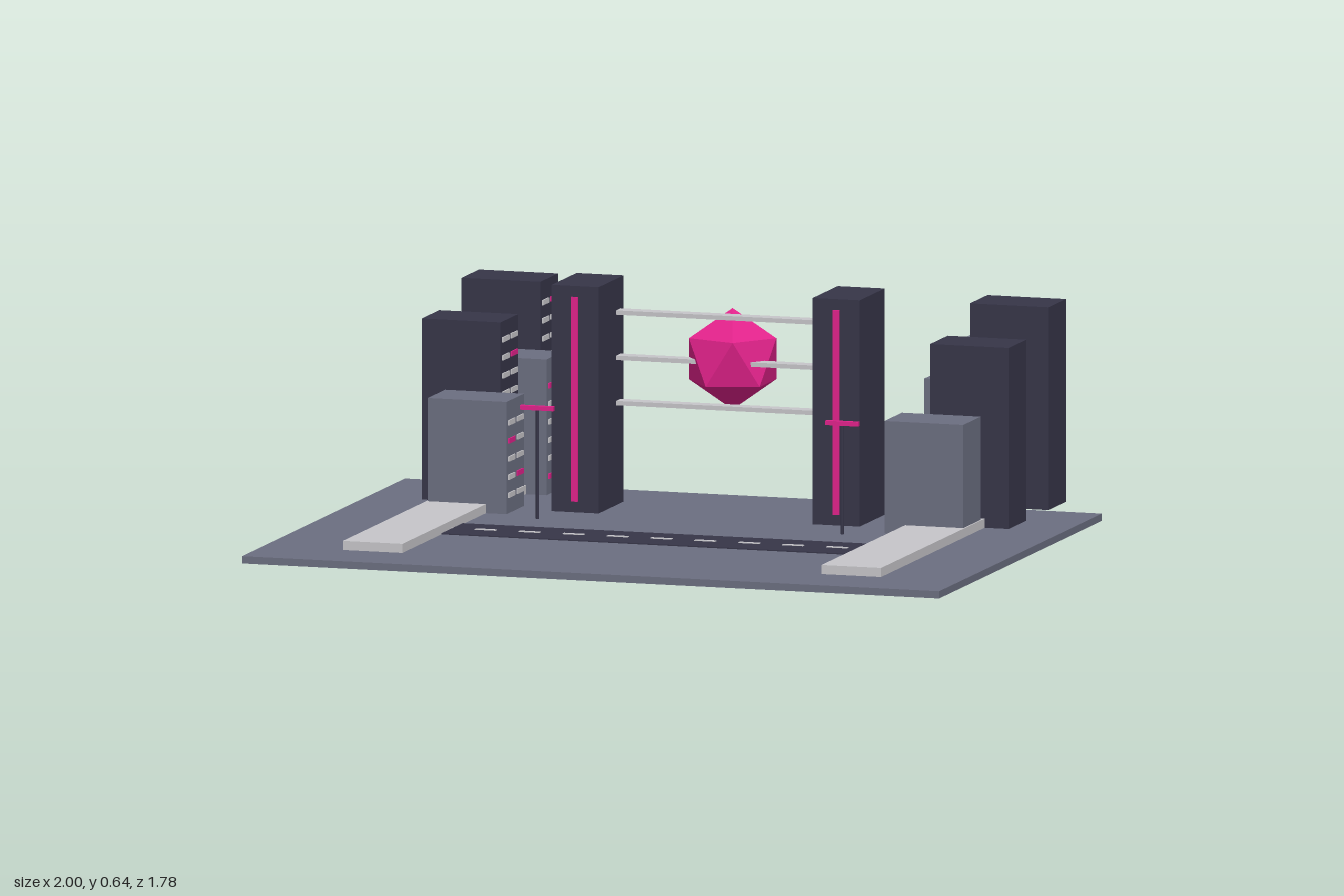
import * as THREE from 'three';

const paint = (name, color) => {
  const m = new THREE.MeshStandardMaterial({ color });
  m.name = name;
  return m;
};

export function createModel() {
  const slate = paint('slate', 0x6b6e80);
  const dark = paint('darkIndigo', 0x363548);
  const pale = paint('paleConcrete', 0xc6c5c9);
  const pink = paint('hotPink', 0xe0218a);

  const model = new THREE.Group();
  model.name = 'cityPlaza';

  // Box given by its lower and upper limits on each axis
  const box = (parent, name, mat, [x0, x1], [y0, y1], [z0, z1]) => {
    const mesh = new THREE.Mesh(new THREE.BoxGeometry(x1 - x0, y1 - y0, z1 - z0), mat);
    mesh.position.set((x0 + x1) / 2, (y0 + y1) / 2, (z0 + z1) / 2);
    mesh.name = name;
    parent.add(mesh);
    return mesh;
  };
  // Same box on the left (+x) or right (-x) side
  const sideBox = (parent, s, name, mat, [a, b], y, z) =>
    box(parent, name, mat, s > 0 ? [a, b] : [-b, -a], y, z);

  // Ground slab and road with a dashed centre line
  box(model, 'ground', slate, [-1, 1], [0, 0.02], [-0.55, 0.89]);
  box(model, 'road', dark, [-0.61, 0.61], [0.019, 0.023], [0.168, 0.356]);
  for (let i = -5; i <= 5; i++) {
    const x = i * 0.126;
    box(model, 'roadDash', pale, [x - 0.03, x + 0.03], [0.022, 0.025], [0.255, 0.269]);
  }

  // Building rows: height and whether it is a dark, set-back block
  const blocks = [
    { h: 0.33 },
    { h: 0.52, setBack: true },
    { h: 0.395 },
    { h: 0.58, setBack: true },
    { h: 0.455 },
  ];

  for (const s of [1, -1]) {
    const side = new THREE.Group();
    side.name = s > 0 ? 'leftSide' : 'rightSide';
    model.add(side);

    sideBox(side, s, 'sidewalk', pale, [0.601, 0.772], [0.02, 0.045], [-0.55, 0.7]);

    blocks.forEach(({ h, setBack }, i) => {
      const z = -0.114 - i * 0.1755;
      const x = setBack ? 0.616 : 0.542;
      const building = new THREE.Group();
      building.name = 'building';
      side.add(building);
      sideBox(building, s, 'buildingBlock', setBack ? dark : slate,
        [x, x + 0.226], [0.02, h], [z - 0.077, z + 0.077]);
      // Strip windows on the face towards the plaza
      for (let row = 0, y = 0.07; y < h - 0.03; row++, y += 0.05) {
        for (const col of [-1, 1]) {
          const lit = (row * 2 + (col + 1) / 2 + i * 3) % 5 === 2;
          sideBox(building, s, 'window', lit ? pink : pale,
            [x - 0.004, x + 0.001], [y - 0.007, y + 0.007],
            [z + col * 0.036 - 0.027, z + col * 0.036 + 0.027]);
        }
      }
    });

    // Tower with a glowing strip on the front
    sideBox(side, s, 'tower', dark, [0.307, 0.442], [0.02, 0.645], [-0.347, -0.127]);
    sideBox(side, s, 'towerStrip', pink, [0.366, 0.384], [0.05, 0.615], [-0.128, -0.121]);

    // Street lamp
    const pole = new THREE.Mesh(new THREE.CylinderGeometry(0.005, 0.005, 0.3, 8), dark);
    pole.position.set(s * 0.437, 0.17, 0.013);
    pole.name = 'lampPole';
    side.add(pole);
    sideBox(side, s, 'lampBar', pink, [0.39, 0.485], [0.32, 0.332], [0.006, 0.02]);
  }

  // Walkways between the towers
  for (const y of [0.302, 0.427, 0.552]) {
    box(model, 'skyBridge', pale, [-0.31, 0.31], [y - 0.006, y + 0.006], [-0.321, -0.281]);
  }

  // Faceted orb standing on a vertex
  const orbGeometry = new THREE.IcosahedronGeometry(0.14, 0);
  orbGeometry.rotateZ(-Math.atan(2 / (1 + Math.sqrt(5))));
  const orb = new THREE.Mesh(orbGeometry, pink);
  orb.position.set(0, 0.427, -0.365);
  orb.name = 'orb';
  model.add(orb);

  return model;
}
